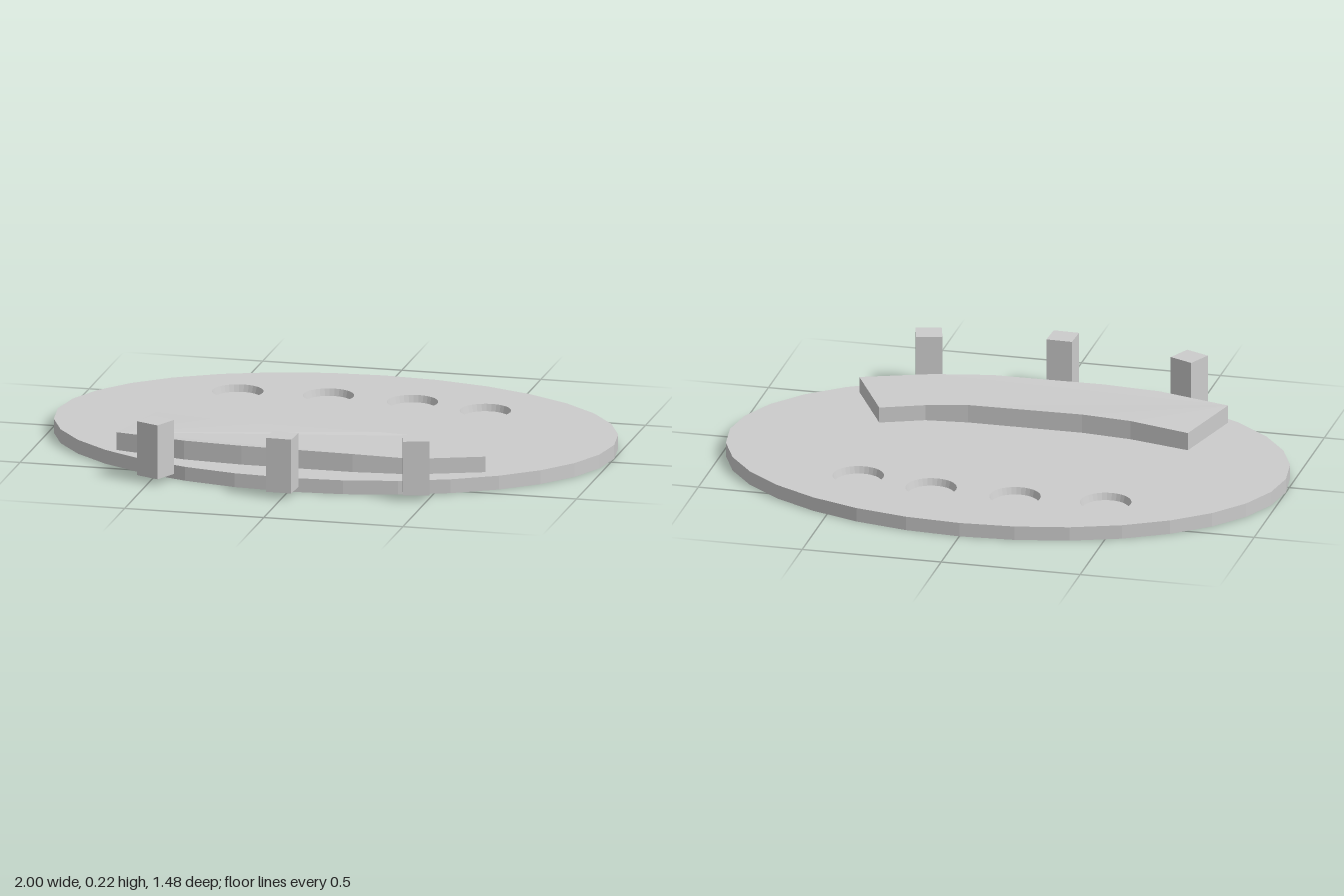
import * as THREE from 'three';

const material = new THREE.MeshStandardMaterial({ color: 0xcccccc, flatShading: true });

// Points of an ellipse on the ground plane, given as (x, -z)
function ellipse(cx, cz, rx, rz, sides) {
  return Array.from({ length: sides }, (_, i) => {
    const a = (i / sides) * Math.PI * 2;
    return new THREE.Vector2(cx + rx * Math.cos(a), -cz + rz * Math.sin(a));
  });
}

// Extrudes a ground-plane shape upwards from y to y + height
function slab(shape, y, height) {
  const g = new THREE.ExtrudeGeometry(shape, { depth: height, bevelEnabled: false });
  return g.rotateX(-Math.PI / 2).translate(0, y, 0);
}

function addMesh(parent, name, geometry) {
  const mesh = new THREE.Mesh(geometry, material);
  mesh.name = name;
  parent.add(mesh);
  return mesh;
}

export function createModel() {
  const model = new THREE.Group();
  model.name = 'ovalTray';

  const thickness = 0.05, floorY = 0.025, wellRadius = 0.09;
  const wells = [[-0.445, -0.418], [-0.125, -0.442], [0.18, -0.43], [0.455, -0.378]];

  // Oval base: solid floor below, upper layer pierced by the round wells
  const outline = () => new THREE.Shape(ellipse(0, -0.047, 1, 0.695, 32));
  const base = new THREE.Group();
  base.name = 'base';
  model.add(base);
  addMesh(base, 'baseFloor', slab(outline(), 0, floorY));

  const pierced = outline();
  for (const [x, z] of wells) {
    pierced.holes.push(new THREE.Path(ellipse(x, z, wellRadius, wellRadius, 32)));
  }
  const top = slab(pierced, floorY, thickness - floorY);

  // Taper the wells slightly towards their floors
  const p = top.attributes.position;
  for (let i = 0; i < p.count; i++) {
    if (p.getY(i) > floorY + 0.001) continue;
    for (const [x, z] of wells) {
      const dx = p.getX(i) - x, dz = p.getZ(i) - z;
      if (Math.hypot(dx, dz) < wellRadius + 0.005) {
        p.setXYZ(i, x + dx * 0.92, floorY, z + dz * 0.92);
        break;
      }
    }
  }
  top.computeVertexNormals();
  addMesh(base, 'baseTopWithWells', top);

  // Curved raised platform along the front
  const platformOutline = [
    [-0.67, 0.435], [-0.41, 0.5], [-0.2, 0.518], [0.2, 0.52], [0.41, 0.5], [0.65, 0.41],
    [0.51, 0.138], [0.36, 0.2], [0.21, 0.215], [-0.2, 0.215], [-0.38, 0.195], [-0.6, 0.14],
  ].map(([x, z]) => new THREE.Vector2(x, -z));
  const platform = slab(new THREE.Shape(platformOutline), thickness, 0.065);

  // The platform top dips gently towards the left end
  const q = platform.attributes.position;
  for (let i = 0; i < q.count; i++) {
    if (q.getY(i) < thickness + 0.001) continue;
    const x = q.getX(i);
    q.setY(i, x < -0.5 ? 0.114 : x < 0.1 ? 0.118 : x < 0.3 ? 0.115 : 0.106);
  }
  platform.computeVertexNormals();
  addMesh(model, 'platform', platform);

  // Square posts standing around the front rim: x, z, turn
  const posts = [['rightPost', -0.486, 0.611, -0.43], ['middlePost', -0.01, 0.694, -0.03], ['leftPost', 0.452, 0.617, 0.28]];
  for (const [name, x, z, turn] of posts) {
    const post = addMesh(model, name, new THREE.BoxGeometry(0.092, 0.195, 0.092));
    post.position.set(x, 0.1175, z);
    post.rotation.y = turn;
  }

  return model;
}
